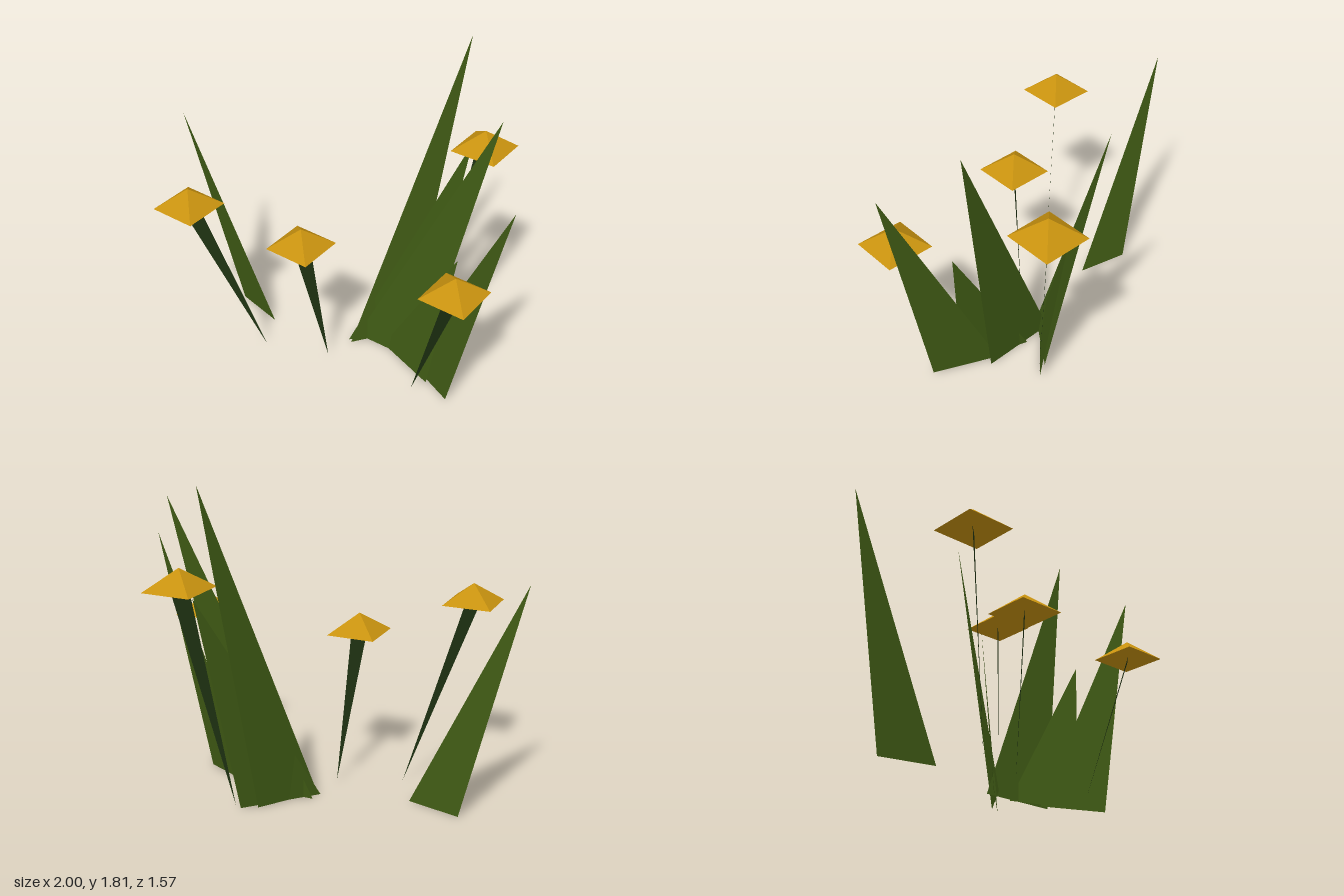
import * as THREE from 'three';

const capGold = new THREE.MeshStandardMaterial({ name: 'capGold', color: 0xc8920f, flatShading: true });
const stemGreen = new THREE.MeshStandardMaterial({ name: 'stemGreen', color: 0x1f3312, side: THREE.DoubleSide });
const grassGreen = new THREE.MeshStandardMaterial({ name: 'grassGreen', color: 0x3f5a14, side: THREE.DoubleSide });

// Thin flat triangle through three points
function triangle(name, a, b, c, material) {
  const g = new THREE.BufferGeometry();
  g.setAttribute('position', new THREE.Float32BufferAttribute([...a, ...b, ...c], 3));
  g.computeVertexNormals();
  const mesh = new THREE.Mesh(g, material);
  mesh.name = name;
  return mesh;
}

// Four-sided cap on a flat stem that tapers to a point at the ground
function mushroom([x, y, z], foot) {
  const group = new THREE.Group();
  group.name = 'mushroom';
  const cap = new THREE.Mesh(new THREE.ConeGeometry(0.19, 0.11, 4), capGold);
  cap.name = 'cap';
  cap.position.set(x, y + 0.055, z);
  const stem = triangle('stem', foot, [x + 0.047, y, z], [x - 0.047, y, z], stemGreen);
  group.add(cap, stem);
  return group;
}

export function createModel() {
  const model = new THREE.Group();
  model.name = 'mushroomsAndGrass';

  // Mushrooms: centre of the cap's rim, then foot of the stem
  const mushrooms = [
    [[-0.81, 1.03, -0.20], [-0.43, 0.01, -0.165]],
    [[-0.23, 0.86, 0.02], [-0.083, 0.01, -0.03]],
    [[0.48, 0.89, 0.59], [0.345, 0.01, 0.32]],
    [[0.81, 1.255, -0.19], [0.545, 0.02, -0.155]],
  ];
  for (const [rim, foot] of mushrooms) model.add(mushroom(rim, foot));

  // Grass blades: two ground corners and a tip
  const blades = [
    [[0.07, 0, -0.125], [0.43, 0, -0.185], [0.77, 1.81, -0.45]],
    [[0.06, 0, -0.15], [0.52, 0, -0.16], [0.77, 1.23, -0.29]],
    [[0.12, 0, -0.19], [0.44, 0, 0.115], [0.77, 1.65, 0.205]],
    [[0.38, 0, 0.08], [0.52, 0, 0.43], [0.745, 1.375, 0.61]],
    [[0.26, 0, -0.08], [0.44, 0, 0.28], [0.57, 0.875, 0.29]],
    [[-0.53, 0, -0.65], [-0.365, 0, -0.395], [-0.805, 1.28, -0.785]],
  ];
  for (const [a, b, tip] of blades) model.add(triangle('grassBlade', a, b, tip, grassGreen));

  return model;
}
